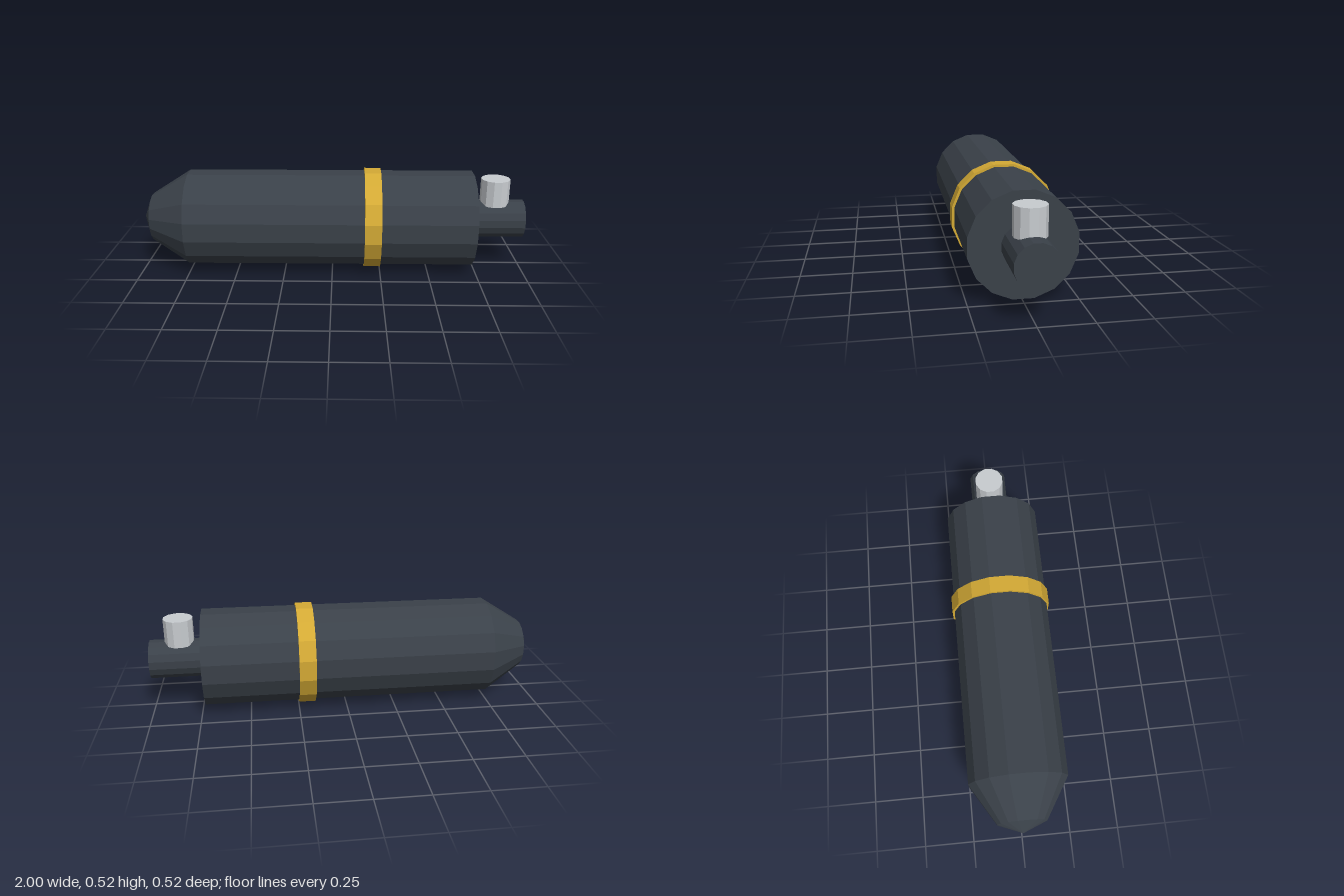
import * as THREE from 'three';

const dark = new THREE.MeshStandardMaterial({ color: 0x3a4149 });
dark.name = 'dark steel';
const gold = new THREE.MeshStandardMaterial({ color: 0xd4aa35 });
gold.name = 'gold';
const silver = new THREE.MeshStandardMaterial({ color: 0xc8ccd0 });
silver.name = 'silver';

const AXIS_Y = 0.2585; // height of the long axis

// Faceted turned part: profile is [radius, position] pairs along +y
function turned(name, profile, sides, material) {
  const points = profile.map(([r, t]) => new THREE.Vector2(r, t));
  const geometry = new THREE.LatheGeometry(points, sides, Math.PI / sides).toNonIndexed();
  geometry.computeVertexNormals(); // one flat normal per facet
  const mesh = new THREE.Mesh(geometry, material);
  mesh.name = name;
  return mesh;
}

// Turned part laid along +x on the long axis
function alongX(name, profile, material) {
  const mesh = turned(name, profile, 16, material);
  mesh.rotation.z = -Math.PI / 2;
  mesh.position.y = AXIS_Y;
  return mesh;
}

export function createModel() {
  const model = new THREE.Group();
  model.name = 'capsule';

  // Body with a two-step tapered nose and a flat end
  model.add(alongX('body',
    [[0, -1], [0.125, -0.95], [0.251, -0.75], [0.251, 0.73], [0, 0.73]], dark));

  // Raised band around the body
  model.add(alongX('band',
    [[0.245, 0.165], [0.2635, 0.165], [0.2635, 0.25], [0.245, 0.25]], gold));

  // Rod at the flat end
  model.add(alongX('rod', [[0, 0.72], [0.1, 0.72], [0.1, 1], [0, 1]], dark));

  // Upright pin on the rod
  const pin = turned('pin', [[0, 0.34], [0.075, 0.34], [0.075, 0.477], [0, 0.477]], 12, silver);
  pin.position.x = 0.848;
  model.add(pin);

  return model;
}
